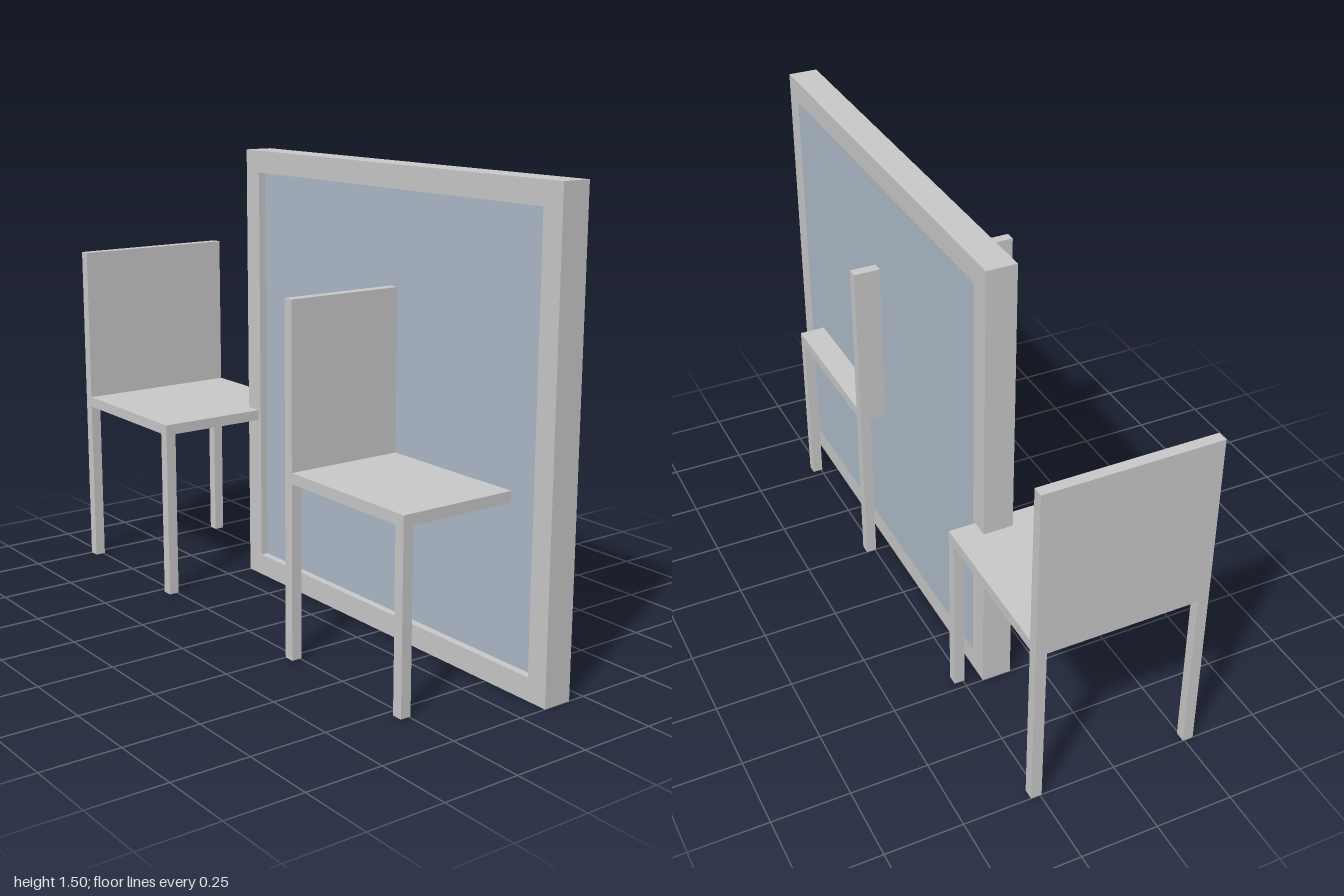
import * as THREE from 'three';

const grey = new THREE.MeshStandardMaterial({ name: 'light grey', color: 0xc8c8c8 });
const blue = new THREE.MeshStandardMaterial({ name: 'pane blue', color: 0xadbac8 });

// Box given by its minimum and maximum corners
function box(name, material, [x0, y0, z0], [x1, y1, z1]) {
  const mesh = new THREE.Mesh(new THREE.BoxGeometry(x1 - x0, y1 - y0, z1 - z0), material);
  mesh.position.set((x0 + x1) / 2, (y0 + y1) / 2, (z0 + z1) / 2);
  mesh.name = name;
  return mesh;
}

// Chair facing +x, with its back at x = 0
function chair(name, x) {
  const size = 0.56, half = size / 2, t = 0.035, seatTop = 0.6, top = 1.125;
  const group = new THREE.Group();
  group.name = name;
  group.add(box('seat', grey, [0, seatTop - t, -half], [size, seatTop, half]));
  group.add(box('backrest', grey, [0, seatTop, -half], [t, top, half]));
  for (const lx of [0, size - t]) {
    for (const lz of [-half, half - t]) {
      group.add(box(lx ? 'frontLeg' : 'backLeg', grey, [lx, 0, lz], [lx + t, seatTop - t, lz + t]));
    }
  }
  group.position.x = x;
  return group;
}

// Square panel: frame with an opening, pane flush behind and recessed in front
function panel() {
  const group = new THREE.Group();
  group.name = 'framedPanel';
  const size = 1.5, rim = 0.073, depth = 0.097, recess = 0.025;
  const outline = new THREE.Shape();
  outline.moveTo(0, 0).lineTo(size, 0).lineTo(size, size).lineTo(0, size).closePath();
  const opening = new THREE.Path();
  const a = rim, b = size - rim;
  opening.moveTo(a, a).lineTo(a, b).lineTo(b, b).lineTo(b, a).closePath();
  outline.holes.push(opening);
  const frame = new THREE.Mesh(
    new THREE.ExtrudeGeometry(outline, { depth, bevelEnabled: false }), grey);
  frame.name = 'frame';
  group.add(frame, box('pane', blue, [a, a, 0], [b, b, depth - recess]));
  group.position.set(-0.5, 0, -0.192);
  return group;
}

export function createModel() {
  const model = new THREE.Group();
  model.name = 'chairsAndPanel';
  model.add(panel(), chair('rightChair', -1), chair('leftChair', 0.25));
  return model;
}
